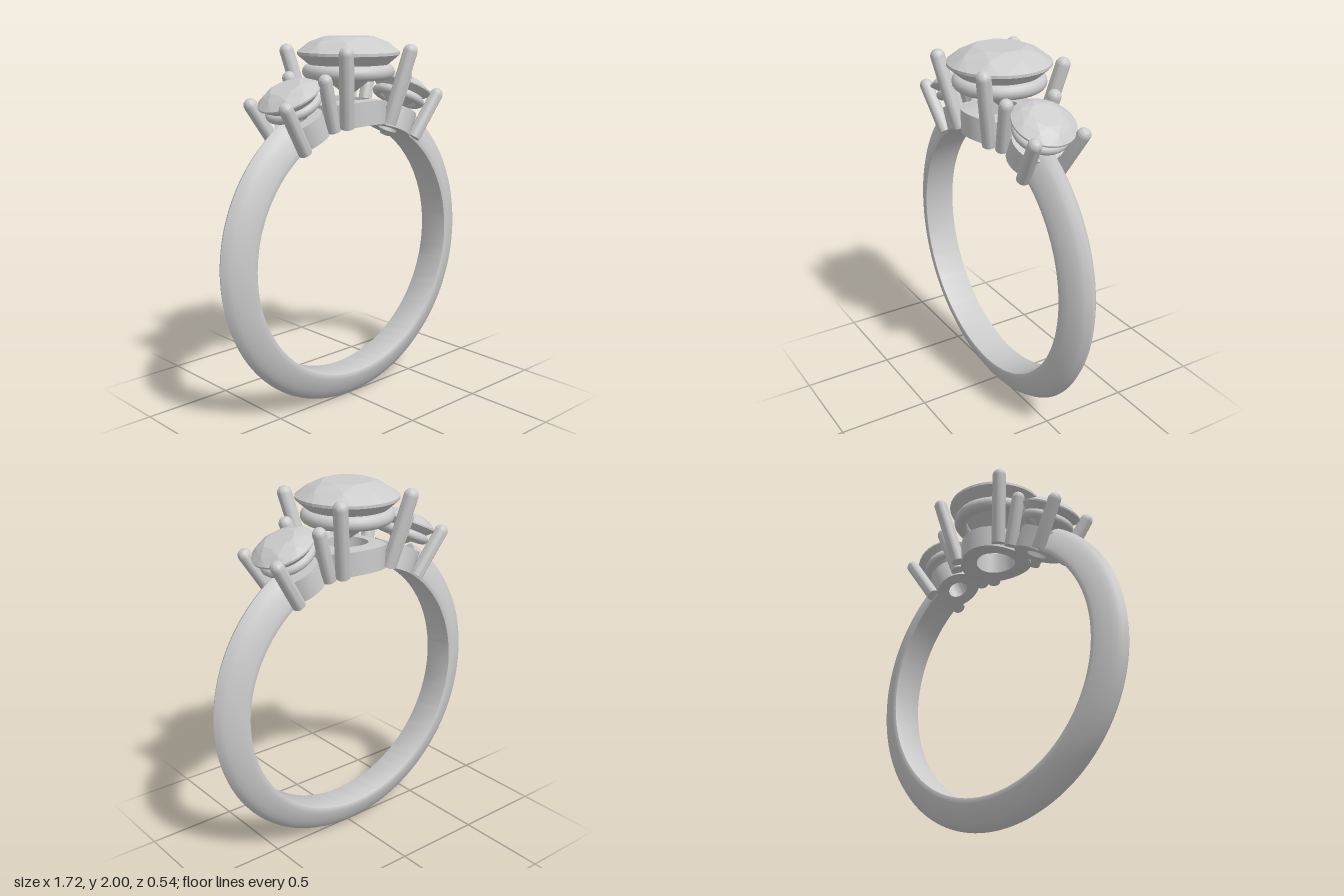
import * as THREE from 'three';
import { toCreasedNormals } from 'three/addons/utils/BufferGeometryUtils.js';
import { ConvexGeometry } from 'three/addons/geometries/ConvexGeometry.js';

const CENTRE_Y = 0.86;   // centre of the finger hole
const INNER_R = 0.695;   // finger hole radius
const BASE_R = 0.82;     // top surface of the setting bases
const BAND_END = THREE.MathUtils.degToRad(32);  // band stops this far from the top
const SIDE_TILT = THREE.MathUtils.degToRad(25.5);

const metal = new THREE.MeshStandardMaterial({ color: 0xcccccc });
const gem = new THREE.MeshStandardMaterial({ color: 0xcccccc, flatShading: true });
const v2 = (x, y) => new THREE.Vector2(x, y);

function add(parent, name, geometry, material = metal) {
  const mesh = new THREE.Mesh(geometry, material);
  mesh.name = name;
  parent.add(mesh);
  return mesh;
}

// Knife-edged band, open at the top, with closed ends
function makeBand(parent) {
  const half = [[0.86, 0], [0.843, 0.028], [0.825, 0.044], [0.8, 0.06], [0.76, 0.079],
    [0.725, 0.09], [0.708, 0.092], [0.698, 0.089], [INNER_R, 0.082]];
  const upper = half.map(([r, z]) => v2(r, z));
  const lower = half.slice(1).reverse().map(([r, z]) => v2(r, -z));
  const profile = [...lower, ...upper];
  const sweep = Math.PI - BAND_END;
  const geo = new THREE.LatheGeometry([...profile, profile[0].clone()], 120, -sweep, 2 * sweep);
  geo.rotateX(Math.PI / 2);
  add(parent, 'band', toCreasedNormals(geo, 0.5));

  const capMaterial = metal.clone();
  capMaterial.side = THREE.DoubleSide;
  for (const side of [-1, 1]) {
    const cap = new THREE.ShapeGeometry(new THREE.Shape(profile));
    cap.rotateX(Math.PI / 2);
    cap.rotateZ(Math.PI / 2 - side * BAND_END);
    add(parent, 'bandEnd', cap, capMaterial);
  }
}

// Faceted round stone, girdle at y = 0
function stoneGeometry(R) {
  const points = [new THREE.Vector3(0, -0.87 * R, 0)];
  const ring = (n, r, y, turn) => {
    for (let i = 0; i < n; i++) {
      const a = (i + turn) * 2 * Math.PI / n;
      points.push(new THREE.Vector3(r * R * Math.sin(a), y * R, r * R * Math.cos(a)));
    }
  };
  ring(8, 0.5, 0.3, 0.5);      // table
  ring(8, 0.76, 0.2, 0);       // crown
  ring(32, 1, 0.015, 0);       // girdle
  ring(32, 1, -0.04, 0);
  ring(8, 0.3, -0.645, 0.5);   // pavilion
  return new ConvexGeometry(points);
}

// Pierced round base, its top and bottom curved around the finger hole
function baseGeometry(outer, hole) {
  const path = [];
  const n = 6;
  for (let i = 0; i <= n; i++) path.push(v2(hole + (outer - hole) * i / n, 0));
  for (let i = 0; i <= n; i++) path.push(v2(outer + (hole - outer) * i / n, 1));
  path.push(v2(hole, 0));
  const geo = new THREE.LatheGeometry(path, 48);
  const p = geo.attributes.position;
  for (let i = 0; i < p.count; i++) {
    const r = p.getY(i) > 0.5 ? BASE_R : INNER_R;
    p.setY(i, Math.sqrt(r * r - p.getX(i) ** 2));
  }
  return toCreasedNormals(geo, 0.7);
}

// Round-tipped prong from foot to tip
function addProng(parent, foot, tip, r) {
  const length = foot.distanceTo(tip);
  const path = [v2(0, 0), v2(r, 0)];
  for (let i = 0; i <= 8; i++) {
    const a = i * Math.PI / 16;
    path.push(v2(i === 8 ? 0 : r * Math.cos(a), length + r * Math.sin(a)));
  }
  const prong = add(parent, 'prong', toCreasedNormals(new THREE.LatheGeometry(path, 24), 0.7));
  prong.position.copy(foot);
  prong.quaternion.setFromUnitVectors(new THREE.Vector3(0, 1, 0), tip.clone().sub(foot).normalize());
}

// One stone with its base, rail and four prongs, along a radius of the ring
function makeSetting(parent, name, tilt, s) {
  const setting = new THREE.Group();
  setting.name = name;
  setting.rotation.z = -tilt;
  add(setting, 'base', baseGeometry(s.baseR, s.holeR));
  add(setting, 'stone', stoneGeometry(s.stoneR), gem).position.y = s.girdle;
  const rail = add(setting, 'rail', new THREE.TorusGeometry(s.railR, s.railTube, 16, 64));
  rail.rotation.x = Math.PI / 2;
  rail.position.y = s.railY;
  for (const x of [-1, 1]) {
    for (const z of [-1, 1]) {
      addProng(setting,
        new THREE.Vector3(x * s.foot, s.footY, z * s.foot),
        new THREE.Vector3(x * s.tip, s.tipY, z * s.tip), s.prongR);
    }
  }
  parent.add(setting);
}

export function createModel() {
  const model = new THREE.Group();
  model.name = 'threeStoneRing';
  const ring = new THREE.Group();
  ring.name = 'ring';
  ring.position.y = CENTRE_Y;
  model.add(ring);

  makeBand(ring);
  makeSetting(ring, 'centreSetting', 0, {
    baseR: 0.2, holeR: 0.11, stoneR: 0.27, girdle: 1.059, railR: 0.205, railTube: 0.039, railY: 0.96,
    foot: 0.152, footY: 0.69, tip: 0.229, tipY: 1.064, prongR: 0.038,
  });
  const side = {
    baseR: 0.128, holeR: 0.055, stoneR: 0.167, girdle: 0.952, railR: 0.122, railTube: 0.026, railY: 0.888,
    foot: 0.107, footY: 0.695, tip: 0.14, tipY: 0.965, prongR: 0.036,
  };
  makeSetting(ring, 'leftSetting', SIDE_TILT, side);
  makeSetting(ring, 'rightSetting', -SIDE_TILT, side);
  return model;
}
